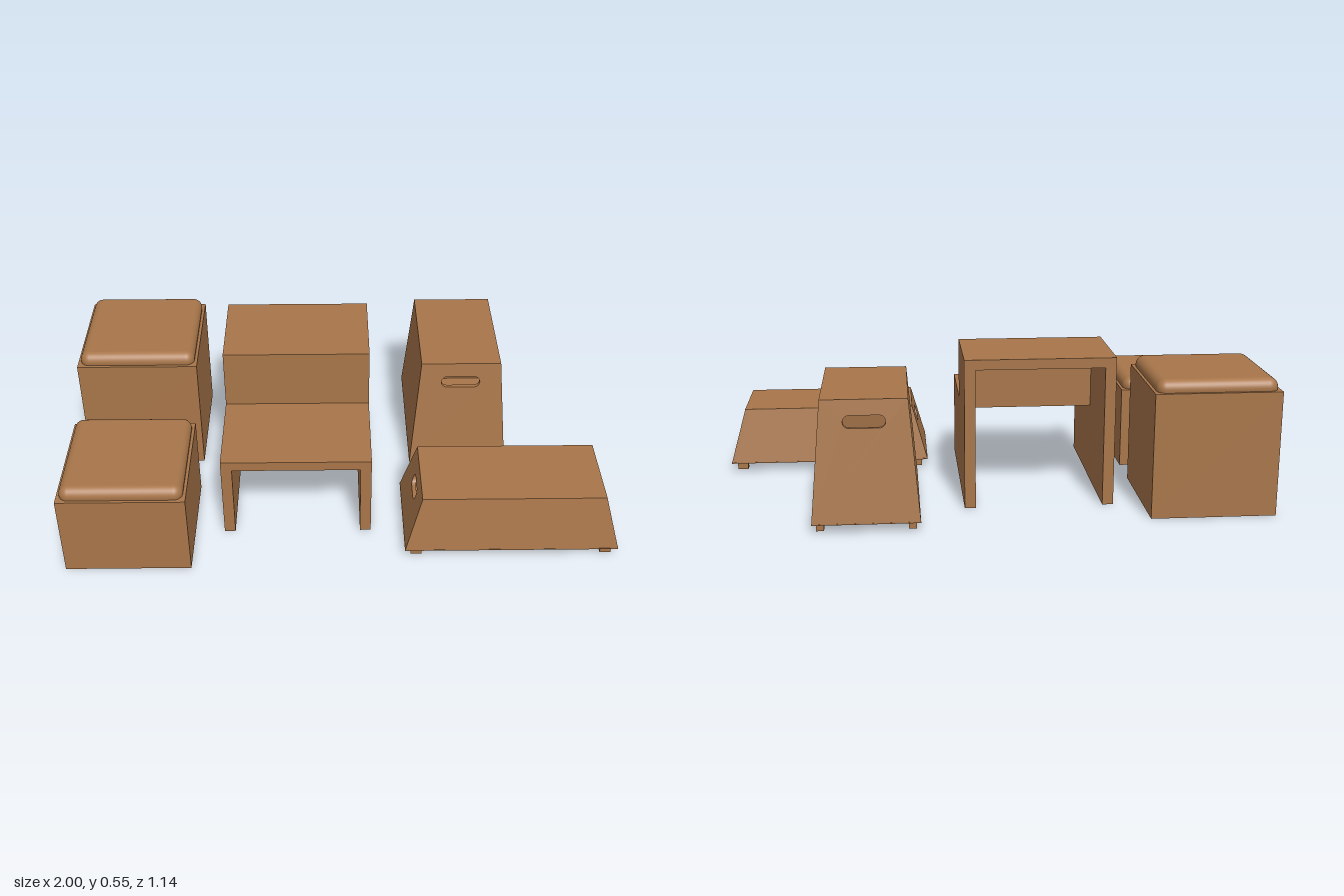
import * as THREE from 'three';
import { RoundedBoxGeometry } from 'three/addons/geometries/RoundedBoxGeometry.js';

const wood = new THREE.MeshStandardMaterial({ color: 0xa8764a });
wood.name = 'warm brown';

function add(parent, name, geometry, x = 0, y = 0, z = 0) {
  const mesh = new THREE.Mesh(geometry, wood);
  mesh.name = name;
  mesh.position.set(x, y, z);
  parent.add(mesh);
  return mesh;
}

function group(parent, name, x, y, z) {
  const g = new THREE.Group();
  g.name = name;
  g.position.set(x, y, z);
  parent.add(g);
  return g;
}

function polygon(points) {
  return new THREE.Shape(points.map(([x, y]) => new THREE.Vector2(x, y)));
}

// Cube seat with a soft rounded cushion
function cushionStool(parent, name, x, z, height) {
  const g = group(parent, name, x, 0, z);
  add(g, 'stoolBody', new THREE.BoxGeometry(0.452, height, 0.452), 0, height / 2, 0);
  add(g, 'cushion', new RoundedBoxGeometry(0.432, 0.07, 0.432, 5, 0.034), 0, height + 0.009, 0);
}

// Bridge section: two legs and a top, running along z
function arch(parent, name, height, opening, z0, z1) {
  const w = 0.2725, i = 0.2325;
  const shape = polygon([[-w, 0], [-i, 0], [-i, opening], [i, opening], [i, 0], [w, 0], [w, height], [-w, height]]);
  const geo = new THREE.ExtrudeGeometry(shape, { depth: z1 - z0, bevelEnabled: false });
  add(parent, name, geo, 0, 0, z0);
}

// Leaning trapezoid panel whose outer face is z = 0 at the foot; optional grip slot
function panel(bottom, top, h, lean, t, slot) {
  const shape = polygon([[-bottom, 0], [bottom, 0], [top, h], [-top, h]]);
  if (slot) {
    const r = slot.height / 2, s = slot.width / 2 - r;
    const hole = new THREE.Path();
    hole.absarc(s, slot.y, r, -Math.PI / 2, Math.PI / 2, false);
    hole.absarc(-s, slot.y, r, Math.PI / 2, Math.PI * 1.5, false);
    hole.closePath();
    shape.holes.push(hole);
  }
  const geo = new THREE.ExtrudeGeometry(shape, { depth: t, bevelEnabled: false, curveSegments: 10 });
  const p = geo.attributes.position;
  for (let i = 0; i < p.count; i++) p.setZ(i, p.getZ(i) - t - (p.getY(i) * lean) / h);
  geo.computeVertexNormals();
  return geo;
}

// Tapered hollow bench: [bottom half x, z], [top half x, z], slots in the z ends
function taperedBench(parent, name, x, z, [a, b], [c, d], h, slot) {
  const t = 0.015;
  const g = group(parent, name, x, 0.035, z);
  for (const s of [1, -1]) {
    const end = add(g, 'gripEnd', panel(a, c, h, b - d, t, slot), 0, 0, s * b);
    end.rotation.y = s > 0 ? 0 : Math.PI;
    const side = add(g, 'sidePanel', panel(b - t, d - t, h, a - c, t), s * a, 0, 0);
    side.rotation.y = (s * Math.PI) / 2;
    for (const k of [1, -1]) {
      add(g, 'foot', new THREE.BoxGeometry(0.027, 0.03, 0.04), s * (a - 0.028), -0.014, k * (b - 0.042));
    }
  }
  add(g, 'benchTop', new THREE.BoxGeometry(2 * c, t, 2 * d), 0, h + 0.001 - t / 2, 0);
  add(g, 'benchBase', new THREE.BoxGeometry(2 * a, 0.004, 2 * b), 0, 0.001, 0);
  return g;
}

export function createModel() {
  const model = new THREE.Group();
  model.name = 'furnitureSet';

  // Pair of cushioned stools
  cushionStool(model, 'tallStool', -0.774, -0.275, 0.457);
  cushionStool(model, 'lowStool', -0.774, 0.341, 0.313);

  // Two-level step table: high shell, riser, low shelf
  const table = group(model, 'stepTable', -0.167, 0, 0);
  arch(table, 'highLevel', 0.552, 0.515, -0.34, -0.02);
  arch(table, 'riser', 0.552, 0.29, -0.02, 0.015);
  arch(table, 'lowLevel', 0.327, 0.29, 0.015, 0.372);

  // Tapered benches with grip slots
  taperedBench(model, 'tallBench', 0.4575, -0.278, [0.188, 0.291], [0.151, 0.233], 0.428,
    { y: 0.352, width: 0.147, height: 0.044 });
  const low = taperedBench(model, 'lowBench', 0.6125, 0.335, [0.19, 0.3875], [0.152, 0.329], 0.21,
    { y: 0.143, width: 0.113, height: 0.046 });
  low.rotation.y = Math.PI / 2;

  return model;
}
